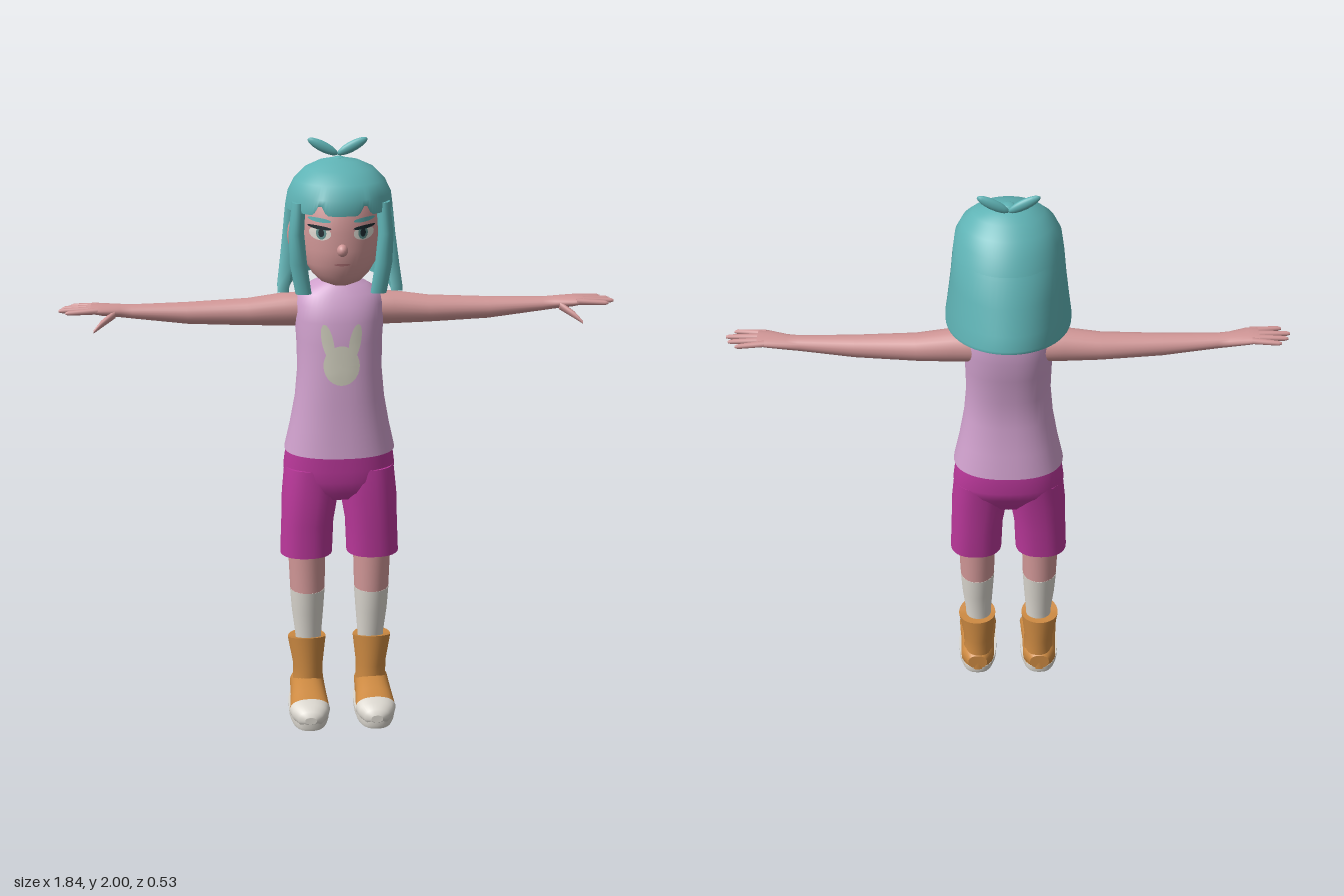
import * as THREE from 'three';

const paint = (name, color, side = THREE.FrontSide) => {
  const m = new THREE.MeshStandardMaterial({ color, side });
  m.name = name;
  return m;
};

// Superellipse ring in the ground plane: row = [height, cx, cz, rx, rz]
function ring([y, cx, cz, rx, rz], n, p) {
  const pw = (v) => Math.sign(v) * Math.pow(Math.abs(v), 2 / p);
  return Array.from({ length: n }, (_, i) => {
    const a = (i / n) * Math.PI * 2;
    return [cx + rx * pw(Math.cos(a)), y, cz + rz * pw(Math.sin(a))];
  });
}

// Skin a stack of equal-length rings, with optional flat ends
function skinRings(rings, caps = true) {
  const n = rings[0].length, pos = [], idx = [];
  rings.forEach((r) => r.forEach((p) => pos.push(...p)));
  for (let j = 0; j < rings.length - 1; j++) {
    for (let i = 0; i < n; i++) {
      const a = j * n + i, b = j * n + ((i + 1) % n);
      idx.push(a, a + n, b, b, a + n, b + n);
    }
  }
  if (caps) {
    [rings[0], rings[rings.length - 1]].forEach((r, top) => {
      const c = pos.length / 3;
      pos.push(...[0, 1, 2].map((k) => r.reduce((s, p) => s + p[k], 0) / n));
      r.forEach((p) => pos.push(...p));
      for (let i = 0; i < n; i++) {
        const a = c + 1 + i, b = c + 1 + ((i + 1) % n);
        idx.push(c, top ? b : a, top ? a : b);
      }
    });
  }
  const g = new THREE.BufferGeometry();
  g.setAttribute('position', new THREE.Float32BufferAttribute(pos, 3));
  g.setIndex(idx);
  g.computeVertexNormals();
  return g;
}

// Loft along y; along x rows are [x, cz, cy, rz, ry]; along z rows are [z, cy, cx, ry, rx]
function loft(rows, { n = 32, p = 2, axis = 'y', caps = true } = {}) {
  const turn = {
    x: ([x, y, z]) => [y, z, x],
    y: (q) => q,
    z: ([x, y, z]) => [z, x, y],
  }[axis];
  return skinRings(rows.map((r) => ring(r, n, p).map(turn)), caps);
}

// Move vertices by a rule
function warp(g, rule) {
  const a = g.attributes.position, v = new THREE.Vector3();
  for (let i = 0; i < a.count; i++) {
    rule(v.fromBufferAttribute(a, i));
    a.setXYZ(i, v.x, v.y, v.z);
  }
  g.computeVertexNormals();
  return g;
}

function mirrored(g) {
  const m = g.clone().scale(-1, 1, 1), ix = m.index.array;
  for (let i = 0; i < ix.length; i += 3) [ix[i], ix[i + 1]] = [ix[i + 1], ix[i]];
  return m;
}

// Depth of the front of a loft at x, y
const frontOf = (rows, p) => (x, y) => {
  let j = 0;
  while (j < rows.length - 2 && rows[j + 1][0] < y) j++;
  const t = (y - rows[j][0]) / (rows[j + 1][0] - rows[j][0]);
  const at = (k) => rows[j][k] + (rows[j + 1][k] - rows[j][k]) * t;
  const u = Math.min(1, Math.abs(x) / at(3));
  return at(2) + at(4) * Math.pow(1 - Math.pow(u, p), 1 / p);
};

// Thin oval laid on a curved front
function decal(front, cx, cy, rx, ry, rot, lift) {
  const g = new THREE.RingGeometry(0, 1, 28, 5).scale(rx, ry, 1).rotateZ(rot).translate(cx, cy, 0);
  return warp(g, (v) => { v.z = front(v.x, v.y) + lift; });
}

const HEAD = [
  [1.545, 0, 0.08, 0.03, 0.03], [1.56, 0, 0.085, 0.065, 0.055], [1.585, 0, 0.08, 0.092, 0.07],
  [1.62, 0, 0.06, 0.116, 0.105], [1.67, 0, 0.04, 0.13, 0.13], [1.73, 0, 0.03, 0.137, 0.135],
  [1.8, 0, 0.02, 0.135, 0.14], [1.87, 0, 0.01, 0.11, 0.11],
];
const SHIRT = [
  [0.965, 0, 0.027, 0.187, 0.138], [1.05, 0, 0.03, 0.168, 0.125], [1.15, 0, 0.036, 0.15, 0.112],
  [1.25, 0, 0.034, 0.141, 0.108], [1.35, 0, 0.02, 0.143, 0.112], [1.42, 0, 0.014, 0.148, 0.112],
  [1.47, 0, 0.006, 0.146, 0.104], [1.505, 0, 0, 0.134, 0.09], [1.53, 0, 0, 0.092, 0.075],
  [1.545, 0, 0, 0.058, 0.058],
];

export function createModel() {
  const skin = paint('skin', 0xd19797);
  const hair = paint('hair teal', 0x5fb3b5, THREE.DoubleSide);
  const lilac = paint('shirt lilac', 0xcfa0cc);
  const magenta = paint('shorts magenta', 0xbb389b);
  const tan = paint('boot tan', 0xcd8a42);
  const white = paint('off white', 0xdcd8d0);
  const cream = paint('print cream', 0xcac8b8);
  const dark = paint('dark lash', 0x1c2a30);
  const irisMat = paint('iris green', 0x5f8f8c);
  const lip = paint('mouth rose', 0xa86c70);

  const model = new THREE.Group();
  model.name = 'girl';
  const add = (name, g, mat) => {
    const m = new THREE.Mesh(g, mat);
    m.name = name;
    model.add(m);
  };
  const pair = (name, g, mat) => {
    add(name + 'Left', g, mat);
    add(name + 'Right', mirrored(g), mat);
  };

  // Head and face
  const face = frontOf(HEAD, 2);
  add('head', loft(HEAD, { n: 48 }), skin);
  add('neck', new THREE.CylinderGeometry(0.052, 0.058, 0.14, 24).translate(0, 1.55, 0.01), skin);
  add('nose', new THREE.SphereGeometry(1, 16, 12).scale(0.018, 0.02, 0.022).translate(0, 1.675, 0.168), skin);
  add('mouth', decal(face, 0, 1.628, 0.026, 0.004, 0, 0.003), lip);
  pair('ear', new THREE.SphereGeometry(1, 16, 12).scale(0.02, 0.055, 0.03).rotateX(0.25).translate(0.15, 1.7, 0.03), skin);
  pair('eyeWhite', decal(face, 0.07, 1.728, 0.034, 0.022, 0.06, 0.003), white);
  pair('iris', decal(face, 0.067, 1.729, 0.016, 0.02, 0, 0.005), irisMat);
  pair('pupil', decal(face, 0.067, 1.73, 0.009, 0.013, 0, 0.007), dark);
  pair('lash', decal(face, 0.072, 1.747, 0.037, 0.006, 0.08, 0.008), dark);
  pair('brow', decal(face, 0.072, 1.77, 0.036, 0.007, 0.08, 0.005), hair);

  // Hair crown with a notched fringe
  const crown = loft([
    [1.79, 0, 0.0075, 0.175, 0.187], [1.84, 0, 0.0225, 0.167, 0.1775], [1.88, 0, 0.0225, 0.147, 0.1425],
    [1.915, 0, 0.0175, 0.112, 0.0975], [1.935, 0, 0.0075, 0.066, 0.0525], [1.945, 0, 0.005, 0.015, 0.012],
  ], { n: 96, caps: false });
  add('hairCrown', warp(crown, (v) => {
    if (v.y < 1.8 && v.z > 0) v.y += 0.04 * Math.max(0, 1 - Math.abs(Math.abs(v.x) - 0.072) / 0.02);
  }), hair);
  add('crownTop', new THREE.SphereGeometry(1, 16, 8).scale(0.02, 0.006, 0.02).translate(0, 1.942, 0.005), hair);

  // Hanging back hair, a crescent in section: [y, w, zFront, zBack, wInner, zInner, tilt]
  const curtain = [
    [1.515, 0.205, 0.07, -0.262, 0.168, -0.08, 0.05], [1.53, 0.205, 0.066, -0.264, 0.168, -0.08, 0.045],
    [1.6, 0.196, 0.045, -0.25, 0.155, -0.08, 0.02], [1.7, 0.184, 0.02, -0.217, 0.145, -0.08, 0],
    [1.78, 0.176, 0.015, -0.186, 0.14, -0.08, 0], [1.86, 0.15, 0.01, -0.13, 0.12, -0.06, 0],
  ].map(([y, w, zf, zb, wi, zi, tilt]) => {
    const pts = [], n = 28;
    const arc = (t, hw, back) => {
      const s = Math.max(0, Math.sin(t));
      pts.push([hw * Math.cos(t), y + tilt * s, zf + (back - zf) * Math.pow(s, 0.9)]);
    };
    for (let i = 0; i <= n; i++) arc(Math.PI * (1 - i / n), w, zb);
    for (let i = 0; i <= n; i++) arc(Math.PI * (i / n), wi, zi);
    return pts;
  });
  add('backHair', skinRings(curtain, false), hair);
  // Underside joining the outer and inner edges
  const edge = curtain[0], half = edge.length / 2;
  const under = [];
  for (let i = 0; i < half - 1; i++) {
    const a = edge[i], b = edge[i + 1], c = edge[edge.length - 1 - i], d = edge[edge.length - 2 - i];
    under.push(...a, ...b, ...c, ...b, ...d, ...c);
  }
  const underside = new THREE.BufferGeometry();
  underside.setAttribute('position', new THREE.Float32BufferAttribute(under, 3));
  underside.computeVertexNormals();
  add('backHairUnderside', underside, hair);

  pair('sideLock', loft([
    [1.52, 0.122, 0.11, 0.026, 0.015], [1.62, 0.138, 0.11, 0.028, 0.022],
    [1.72, 0.144, 0.112, 0.025, 0.03], [1.82, 0.135, 0.1, 0.022, 0.035],
  ], { n: 16 }), hair);
  pair('sprout', new THREE.SphereGeometry(1, 16, 12).scale(0.055, 0.017, 0.012).rotateZ(0.48)
    .translate(0.048, 1.97, -0.045), hair);

  // Shirt and its rabbit print
  const chest = frontOf(SHIRT, 2.3);
  add('shirt', loft(SHIRT, { n: 48, p: 2.3 }), lilac);
  add('printFace', decal(chest, 0, 1.282, 0.06, 0.066, 0, 0.004), cream);
  pair('printEar', decal(chest, 0.045, 1.36, 0.019, 0.06, -0.2, 0.004), cream);

  // Arms and hands
  pair('arm', loft([
    [0.11, -0.005, 1.44, 0.056, 0.056], [0.18, -0.005, 1.44, 0.056, 0.055], [0.3, -0.005, 1.433, 0.049, 0.045],
    [0.5, 0, 1.434, 0.039, 0.036], [0.68, 0.004, 1.444, 0.031, 0.023], [0.72, 0.005, 1.448, 0.034, 0.021],
    [0.78, 0.012, 1.455, 0.045, 0.018], [0.815, 0.012, 1.458, 0.044, 0.013],
  ], { n: 24, axis: 'x' }), skin);
  [[0.044, 0.056, 0.895], [0.022, 0.025, 0.92], [0, -0.005, 0.91], [-0.021, -0.034, 0.885]].forEach(([z0, z1, tip], i) => {
    pair('finger' + (i + 1), loft([
      [0.79, z0, 1.458, 0.012, 0.011], [tip - 0.012, z1, 1.456, 0.009, 0.008], [tip, z1, 1.455, 0.004, 0.004],
    ], { n: 10, axis: 'x' }), skin);
  });
  pair('thumb', loft([
    [0.735, 0.03, 1.445, 0.018, 0.015], [0.78, 0.07, 1.42, 0.013, 0.012], [0.805, 0.09, 1.4, 0.005, 0.005],
  ], { n: 10, axis: 'x' }), skin);

  // Shorts
  add('shortsHips', loft([
    [0.79, 0, 0.02, 0.09, 0.07], [0.82, 0, 0.02, 0.16, 0.09], [0.86, 0, 0.013, 0.187, 0.106],
    [0.9, 0, 0.006, 0.19, 0.115], [0.975, 0, 0.01, 0.18, 0.112],
  ], { n: 40, p: 2.3 }), magenta);
  pair('shortsLeg', loft([
    [0.58, 0.115, 0.025, 0.09, 0.081], [0.7, 0.11, 0.022, 0.09, 0.088],
    [0.8, 0.1, 0.02, 0.097, 0.095], [0.9, 0.092, 0.01, 0.095, 0.1],
  ], { p: 2.3 }), magenta);

  // Legs, socks and boots
  pair('leg', loft([[0.44, 0.112, 0.032, 0.06, 0.066], [0.62, 0.113, 0.03, 0.066, 0.07]]), skin);
  pair('sock', loft([
    [0.2, 0.11, 0.03, 0.045, 0.042], [0.27, 0.11, 0.032, 0.046, 0.043],
    [0.36, 0.112, 0.033, 0.055, 0.058], [0.445, 0.112, 0.032, 0.061, 0.067],
  ]), white);
  pair('bootShaft', warp(loft([
    [0.02, 0.115, 0.03, 0.06, 0.066], [0.1, 0.112, 0.03, 0.053, 0.061],
    [0.15, 0.112, 0.028, 0.053, 0.061], [0.25, 0.115, 0.027, 0.067, 0.063],
  ]), (v) => { if (v.y > 0.24) v.y += 0.02 * Math.max(0, (v.z - 0.027) / 0.063); }), tan);
  pair('bootFoot', loft([
    [-0.034, 0.055, 0.115, 0.03, 0.035], [0, 0.06, 0.115, 0.05, 0.06], [0.1, 0.06, 0.115, 0.055, 0.062],
    [0.15, 0.053, 0.115, 0.047, 0.066], [0.2, 0.05, 0.115, 0.04, 0.069],
  ], { axis: 'z', p: 2.3 }), tan);
  pair('toeCap', loft([
    [0.199, 0.05, 0.115, 0.041, 0.07], [0.23, 0.048, 0.115, 0.037, 0.062],
    [0.255, 0.042, 0.115, 0.029, 0.043], [0.265, 0.04, 0.115, 0.013, 0.02],
  ], { axis: 'z', p: 2.3 }), white);
  pair('sole', loft([
    [0, 0.115, 0.115, 0.066, 0.146], [0.012, 0.115, 0.115, 0.07, 0.15], [0.03, 0.115, 0.115, 0.07, 0.15],
  ], { p: 2.6 }), white);

  return model;
}
